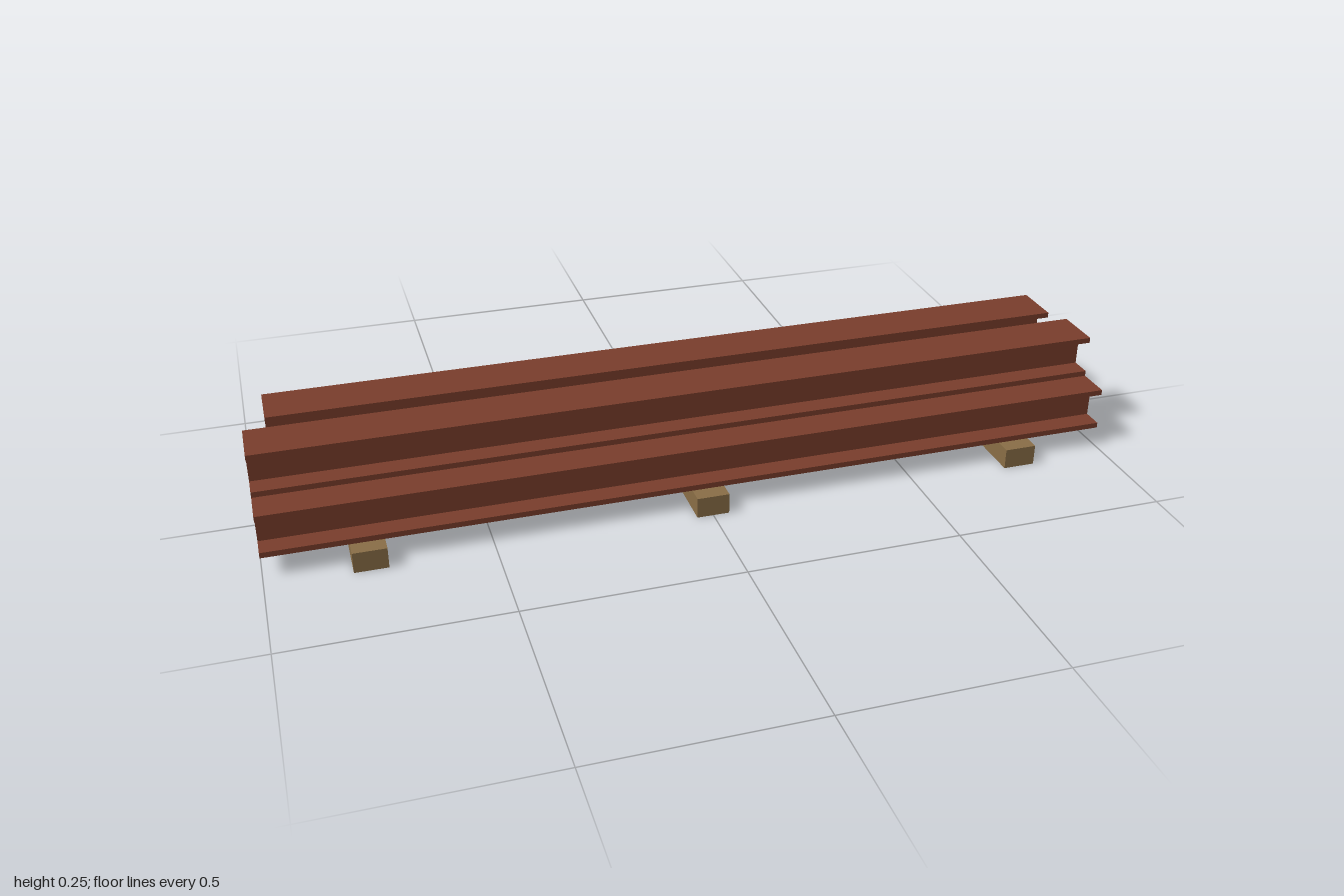
import * as THREE from 'three';

const BEAM_H = 0.103, FLANGE_W = 0.116, FLANGE_T = 0.013, WEB_T = 0.018;
const SLEEPER_H = 0.049;

// I-shaped cross-section, base at y = 0, centred sideways
function beamProfile() {
  const f = FLANGE_W / 2, w = WEB_T / 2, t = FLANGE_T, h = BEAM_H;
  const right = [[f, 0], [f, t], [w, t], [w, h - t], [f, h - t], [f, h]];
  const left = right.map(([x, y]) => [-x, y]).reverse();
  return new THREE.Shape([...right, ...left].map(([x, y]) => new THREE.Vector2(x, y)));
}

export function createModel() {
  const rust = new THREE.MeshStandardMaterial({ color: 0x7a3e2c });
  rust.name = 'rusty steel';
  const wood = new THREE.MeshStandardMaterial({ color: 0x8b6f47 });
  wood.name = 'timber';

  const model = new THREE.Group();
  model.name = 'beamStack';

  // Timber sleepers under the stack
  const sleeperGeometry = new THREE.BoxGeometry(0.076, SLEEPER_H, 0.518);
  [-0.773, 0, 0.773].forEach((x, i) => {
    const sleeper = new THREE.Mesh(sleeperGeometry, wood);
    sleeper.name = `sleeper${i + 1}`;
    sleeper.position.set(x, SLEEPER_H / 2, 0);
    model.add(sleeper);
  });

  // Steel beams: start x, end x, z, layer
  const profile = beamProfile();
  const beams = [
    ['lowerFrontBeam', -1, 1, 0.162, 0],
    ['lowerMiddleBeam', -0.95, 0.975, 0, 0],
    ['lowerBackBeam', -0.905, 0.95, -0.162, 0],
    ['upperFrontBeam', -1, 1, 0.081, 1],
    ['upperBackBeam', -0.95, 0.975, -0.081, 1],
  ];
  for (const [name, x0, x1, z, layer] of beams) {
    const geometry = new THREE.ExtrudeGeometry(profile, { depth: x1 - x0, bevelEnabled: false });
    geometry.rotateY(Math.PI / 2);
    const beam = new THREE.Mesh(geometry, rust);
    beam.name = name;
    beam.position.set(x0, SLEEPER_H + layer * BEAM_H, z);
    model.add(beam);
  }
  return model;
}
